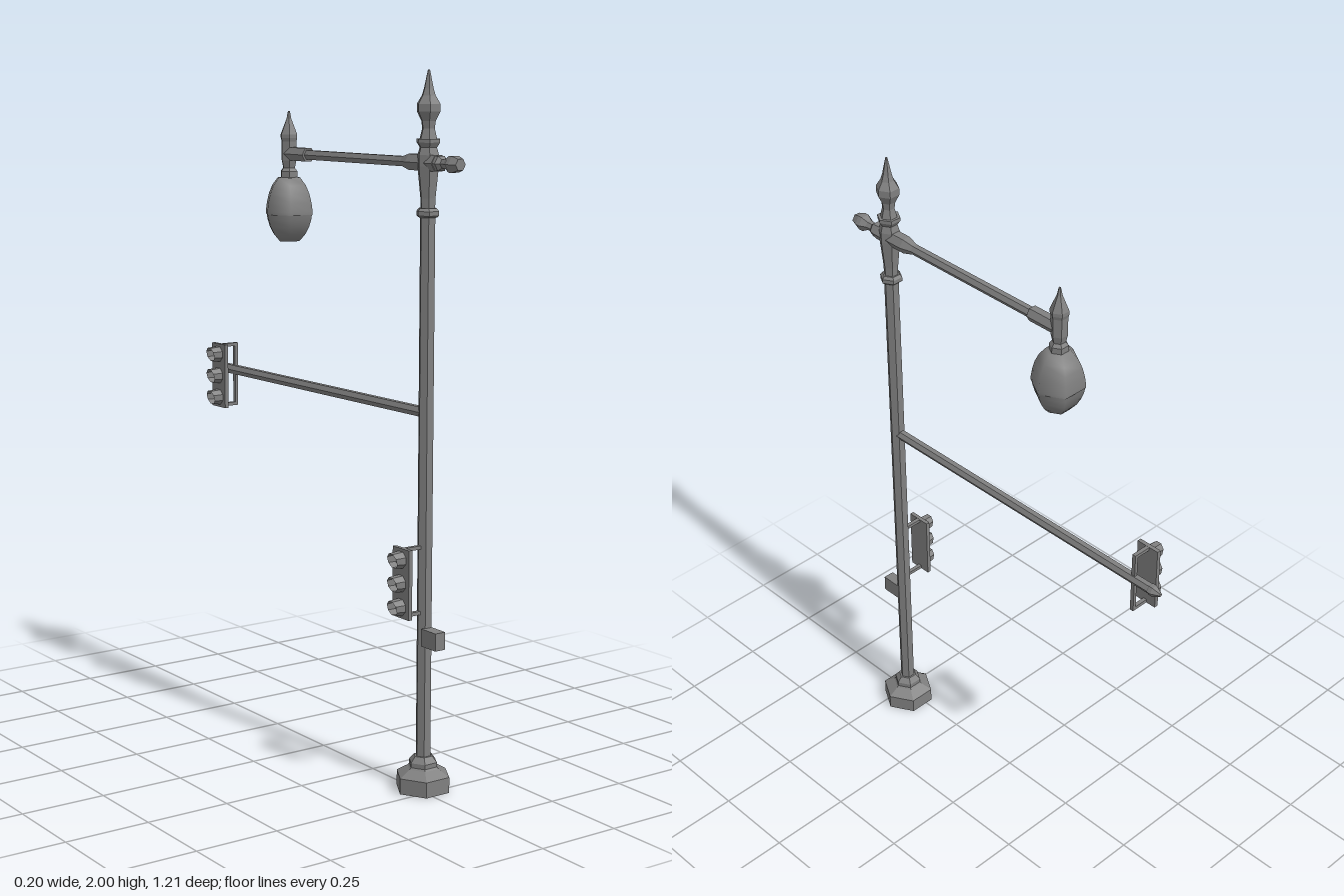
import * as THREE from 'three';

const GREY = 0x808080;
const flat = new THREE.MeshStandardMaterial({ color: GREY, flatShading: true });
const smooth = new THREE.MeshStandardMaterial({ color: GREY });
const thin = new THREE.MeshStandardMaterial({ color: GREY, flatShading: true, side: THREE.DoubleSide });

const AXIS_X = 0.017, POLE_Z = 0.465, LAMP_Z = -0.203;

export function createModel() {
  const model = new THREE.Group();
  model.name = 'streetLamp';

  const add = (parent, name, geometry, x, y, z, material = flat) => {
    const mesh = new THREE.Mesh(geometry, material);
    mesh.name = name;
    mesh.position.set(x, y, z);
    parent.add(mesh);
    return mesh;
  };
  // Six-sided turned part with corners on +-x; the profile is [radius, height] pairs
  const turned = (profile) => new THREE.LatheGeometry(
    profile.map(([r, h]) => new THREE.Vector2(r, h)), 6, Math.PI / 6);
  const upright = (name, z, profile, material) =>
    add(model, name, turned(profile), AXIS_X, 0, z, material);
  const lengthwise = (name, y, profile) =>
    add(model, name, turned(profile).rotateX(Math.PI / 2), AXIS_X, y, 0);

  // Post
  upright('base', POLE_Z, [
    [0, 0], [0.08, 0], [0.08, 0.045], [0.047, 0.065], [0.042, 0.07],
    [0.042, 0.083], [0.028, 0.1], [0, 0.1]]);
  upright('pole', POLE_Z, [[0.022, 0.09], [0.022, 1.62]]);
  upright('poleRing', POLE_Z, [
    [0, 1.608], [0.027, 1.608], [0.033, 1.613], [0.033, 1.625], [0.026, 1.633], [0, 1.633]]);
  upright('poleHead', POLE_Z, [
    [0.021, 1.625], [0.022, 1.66], [0.031, 1.745], [0.031, 1.775], [0.025, 1.795],
    [0.034, 1.808], [0.034, 1.818], [0, 1.818]]);
  upright('finial', POLE_Z, [
    [0.026, 1.815], [0.018, 1.845], [0.021, 1.865], [0.034, 1.89], [0.034, 1.91],
    [0.02, 1.932], [0.014, 1.95], [0.003, 2], [0, 2]]);

  // Upper arm with its front knob and sleeves
  lengthwise('lampArm', 1.754, [[0.0155, -0.15], [0.0155, 0.44]]);
  lengthwise('armKnob', 1.754, [
    [0.014, 0.48], [0.023, 0.505], [0.023, 0.522], [0.013, 0.532], [0.015, 0.55],
    [0.025, 0.568], [0.025, 0.582], [0.017, 0.604], [0, 0.604]]);
  lengthwise('poleSleeve', 1.754, [
    [0, 0.36], [0.0155, 0.36], [0.025, 0.395], [0.025, 0.51], [0, 0.51]]);
  lengthwise('lampSleeve', 1.754, [
    [0, -0.2], [0.022, -0.2], [0.022, -0.102], [0, -0.102]]);

  // Hanging lamp
  upright('lampStem', LAMP_Z, [
    [0.027, 1.68], [0.027, 1.703], [0.019, 1.713], [0.024, 1.735], [0.024, 1.79],
    [0.027, 1.8], [0.027, 1.81], [0.008, 1.855], [0.003, 1.878], [0, 1.878]]);
  upright('lampHood', LAMP_Z, [
    [0.077, 1.577], [0.077, 1.586], [0.073, 1.612], [0.066, 1.638],
    [0.055, 1.662], [0.037, 1.684], [0, 1.69]], smooth);
  upright('lampGlobe', LAMP_Z, [
    [0, 1.498], [0.033, 1.498], [0.052, 1.518], [0.065, 1.541], [0.072, 1.562], [0.075, 1.58]], smooth);

  // Lower arm with a pointed tip
  lengthwise('signalArm', 1.076, [
    [0, -0.604], [0.005, -0.604], [0.0175, -0.58], [0.0175, -0.568], [0.0155, -0.565], [0.0155, 0.46]]);

  // Signal visor: open tube facing -x, cut back at the bottom
  const visorGeometry = () => {
    const g = new THREE.CylinderGeometry(0.022, 0.025, 0.034, 8, 1, true, Math.PI / 8)
      .rotateZ(Math.PI / 2);
    const p = g.attributes.position;
    for (let i = 0; i < p.count; i++) {
      if (p.getX(i) < 0) p.setX(i, -0.009 - 0.25 * (p.getY(i) + 0.022));
    }
    g.computeVertexNormals();
    return g;
  };

  // Three-lamp signal; x is the middle of its backplate
  const signal = (name, x, y, z) => {
    const group = new THREE.Group();
    group.name = name;
    group.position.set(x, y, z);
    model.add(group);
    add(group, 'backplate', new THREE.BoxGeometry(0.012, 0.197, 0.074), 0, 0, 0);
    for (const dy of [-0.067, 0, 0.067]) {
      add(group, 'visor', visorGeometry(), -0.021, dy, 0, thin);
      add(group, 'lens', new THREE.SphereGeometry(0.021, 8, 4, 0, Math.PI * 2, 0, Math.PI / 2)
        .scale(1, 0.4, 1).rotateZ(Math.PI / 2), -0.006, dy, 0, smooth);
    }
    const reach = AXIS_X - x;
    for (const dy of [-0.093, 0.093]) {
      add(group, 'bracket', new THREE.BoxGeometry(reach, 0.01, 0.012), reach / 2, dy, 0);
    }
    add(group, 'mountingBar', new THREE.BoxGeometry(0.01, 0.196, 0.012), reach, 0, 0);
  };
  signal('armSignal', -0.039, 1.063, -0.505);
  signal('poleSignal', -0.06, 0.608, POLE_Z);

  // Push-button box on the front of the pole
  add(model, 'buttonBox', new THREE.BoxGeometry(0.034, 0.05, 0.064), 0.013, 0.447, 0.511);

  return model;
}
